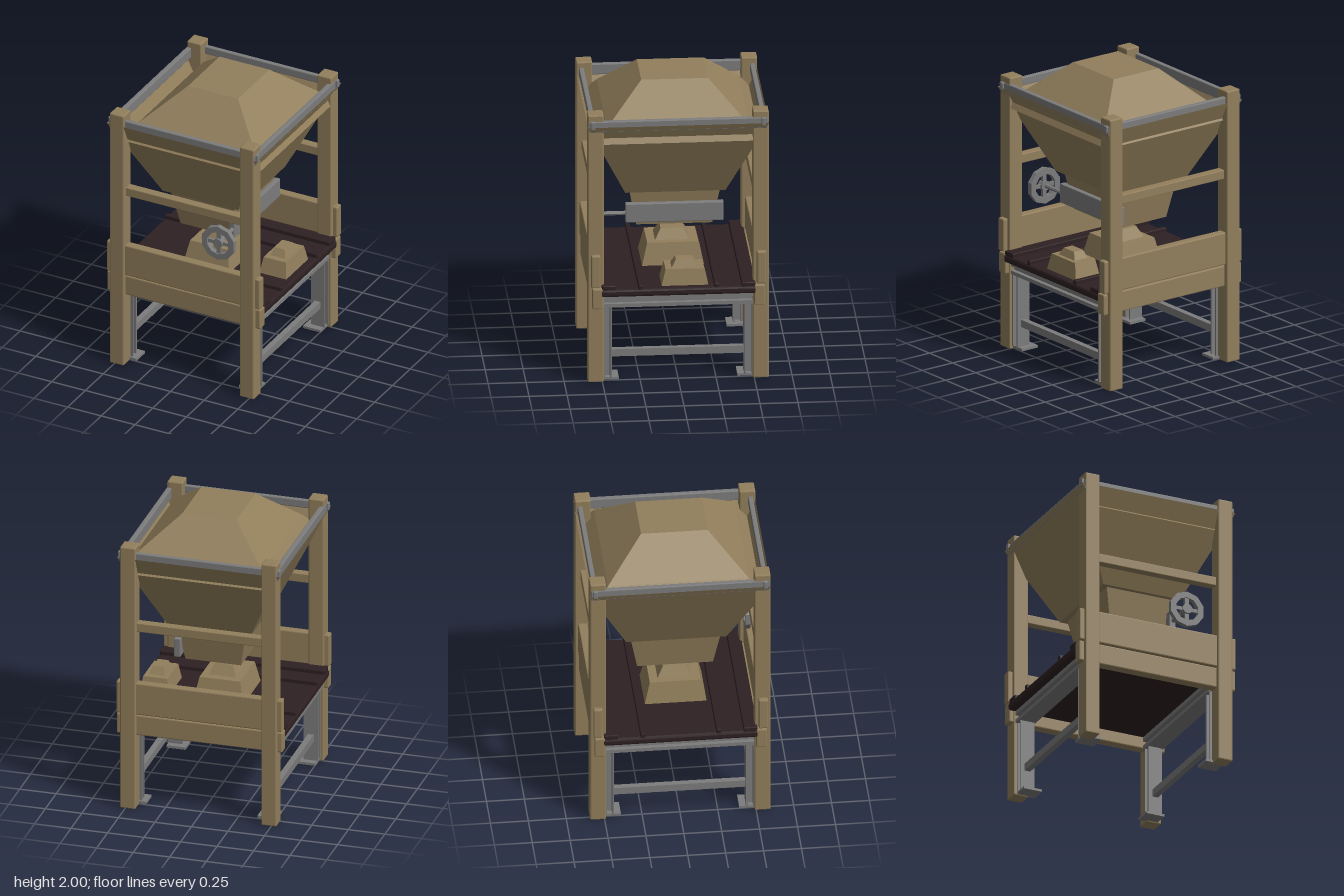
import * as THREE from 'three';
import { RoundedBoxGeometry } from 'three/addons/geometries/RoundedBoxGeometry.js';

function flat(name, color, side = THREE.FrontSide) {
  const m = new THREE.MeshStandardMaterial({ color, side, flatShading: true });
  m.name = name;
  return m;
}

// Rectangular cross-sections [x0, x1, z0, z1, y], listed bottom to top
function loft(rings, capBottom, capTop) {
  const corners = rings.map(([x0, x1, z0, z1, y]) => [[x0, y, z1], [x1, y, z1], [x1, y, z0], [x0, y, z0]]);
  const pos = [];
  const quad = (a, b, c, d) => pos.push(...a, ...b, ...c, ...a, ...c, ...d);
  for (let i = 0; i + 1 < corners.length; i++) {
    const lo = corners[i], hi = corners[i + 1];
    for (let k = 0; k < 4; k++) {
      const n = (k + 1) % 4;
      quad(lo[k], lo[n], hi[n], hi[k]);
    }
  }
  const top = corners[corners.length - 1], bot = corners[0];
  if (capTop) quad(...top);
  if (capBottom) quad(bot[3], bot[2], bot[1], bot[0]);
  const g = new THREE.BufferGeometry();
  g.setAttribute('position', new THREE.Float32BufferAttribute(pos, 3));
  g.computeVertexNormals();
  return g;
}

export function createModel() {
  const model = new THREE.Group();
  model.name = 'hopperConveyor';
  const wood = flat('wood', 0x927f5c);
  const sheet = flat('wood', 0x927f5c, THREE.DoubleSide);
  sheet.name = 'hopperSheet';
  const steel = flat('steel', 0x7c7c7c);
  const rubber = flat('rubber', 0x2e2022);

  const add = (name, geo, mat, x = 0, y = 0, z = 0, parent = model) => {
    const m = new THREE.Mesh(geo, mat);
    m.name = name;
    m.position.set(x, y, z);
    parent.add(m);
    return m;
  };
  // Box given by its extents
  const box = (name, mat, x0, x1, y0, y1, z0, z1, bevel = 0) => {
    const s = [x1 - x0, y1 - y0, z1 - z0];
    const g = bevel ? new RoundedBoxGeometry(...s, 1, bevel) : new THREE.BoxGeometry(...s);
    return add(name, g, mat, (x0 + x1) / 2, (y0 + y1) / 2, (z0 + z1) / 2);
  };
  // Box centred on x and z
  const at = (name, mat, x, z, w, d, y0, y1, bevel) =>
    box(name, mat, x - w / 2, x + w / 2, y0, y1, z - d / 2, z + d / 2, bevel);

  for (const sx of [-1, 1]) {
    for (const sz of [-1, 1]) {
      // Timber posts
      at('post', wood, sx * 0.483, sz * 0.543, 0.105, 0.105, 0, 1.88, 0.008);
      // Steel H-section legs on foot plates
      for (const e of [0.441, 0.489]) at('legFlange', steel, sx * 0.465, sz * e, 0.1, 0.012, 0.02, 0.52);
      at('legWeb', steel, sx * 0.465, sz * 0.465, 0.014, 0.05, 0.02, 0.52);
      at('footPlate', steel, sx * 0.445, sz * 0.45, 0.13, 0.12, 0.008, 0.025);
    }
    // Low rungs and channel beams under the belt
    at('rung', steel, sx * 0.465, 0, 0.04, 0.88, 0.16, 0.21);
    at('beamTop', steel, sx * 0.465, 0, 0.12, 1.0, 0.575, 0.605);
    at('beamWeb', steel, sx * 0.465, 0, 0.06, 1.0, 0.545, 0.575);
    at('beamFoot', steel, sx * 0.465, 0, 0.12, 1.0, 0.52, 0.545);
    // Rails along z
    at('sideRail', steel, sx * 0.522, 0, 0.034, 1.18, 1.76, 1.835, 0.006);
  }

  for (const sz of [-1, 1]) {
    // Side boards, cross brace and rail on the front and back
    at('lowerBoard', wood, 0, sz * 0.533, 1.135, 0.07, 0.525, 0.668, 0.008);
    at('upperBoard', wood, 0, sz * 0.545, 1.135, 0.06, 0.674, 0.9, 0.008);
    at('brace', wood, 0, sz * 0.53, 0.88, 0.06, 1.265, 1.328, 0.005);
    at('endRail', steel, 0, sz * 0.562, 1.11, 0.032, 1.782, 1.838, 0.006);
  }

  // Conveyor belt with lengthwise strips
  at('belt', rubber, 0, 0, 1.14, 1.03, 0.607, 0.66, 0.015);
  for (const z of [-0.46, -0.25, 0.25, 0.46])
    at('beltStrip', rubber, 0, z, 1.13, z * z > 0.1 ? 0.09 : 0.03, 0.65, 0.688, 0.006);

  // Hopper, chute and the material heaped inside
  add('hopper', loft([
    [-0.24, 0.24, -0.3, 0.3, 1.23], [-0.28, 0.28, -0.33, 0.33, 1.23], [-0.555, 0.555, -0.595, 0.595, 1.8],
  ]), sheet);
  add('chute', loft([
    [-0.19, 0.19, -0.25, 0.25, 0.97], [-0.24, 0.235, -0.3, 0.3, 1.235],
  ], true), sheet);
  add('heap', loft([
    [-0.48, 0.53, -0.55, 0.55, 1.67], [-0.4, 0.48, -0.465, 0.465, 1.77], [-0.15, 0.22, -0.22, 0.22, 2],
  ], false, true), sheet);

  // Two-tier piles on the belt
  const pile = (name, x, z, w, d, y1, y2) => {
    const ring = (k, y) => [-w * k, w * k, -d * k, d * k, y];
    add(name, loft([ring(1, 0.655), ring(0.82, y1), ring(0.55, y1), ring(0.36, y2)], false, true), wood, x, 0, z);
  };
  pile('largePile', -0.02, 0.005, 0.17, 0.205, 0.81, 0.88);
  pile('smallPile', 0.42, -0.045, 0.1, 0.155, 0.77, 0.82);

  // Slide gate and its shaft
  box('gate', steel, 0.205, 0.25, 1.005, 1.138, -0.32, 0.325, 0.006);
  const shaft = add('gateShaft', new THREE.CylinderGeometry(0.015, 0.015, 0.22, 8), steel, 0.232, 1.07, 0.42);
  shaft.rotation.x = Math.PI / 2;

  // Handwheel
  const wheel = new THREE.Group();
  wheel.name = 'handwheel';
  wheel.position.set(0.235, 1.07, 0.515);
  model.add(wheel);
  const decagon = (path, r) => path.setFromPoints(Array.from({ length: 10 }, (_, i) => {
    const a = (i + 0.5) * Math.PI / 5;
    return new THREE.Vector2(r * Math.cos(a), r * Math.sin(a));
  }));
  const rim = decagon(new THREE.Shape(), 0.124);
  rim.holes.push(decagon(new THREE.Path(), 0.082));
  add('rim', new THREE.ExtrudeGeometry(rim, { depth: 0.035, bevelEnabled: false }), steel, 0, 0, -0.018, wheel);
  add('spokeAcross', new THREE.BoxGeometry(0.18, 0.025, 0.018), steel, 0, 0, 0, wheel);
  add('spokeUpright', new THREE.BoxGeometry(0.03, 0.18, 0.018), steel, 0, 0, 0, wheel);
  const hub = add('hub', new THREE.CylinderGeometry(0.035, 0.035, 0.045, 10), steel, 0, 0, 0, wheel);
  hub.rotation.x = Math.PI / 2;

  return model;
}
